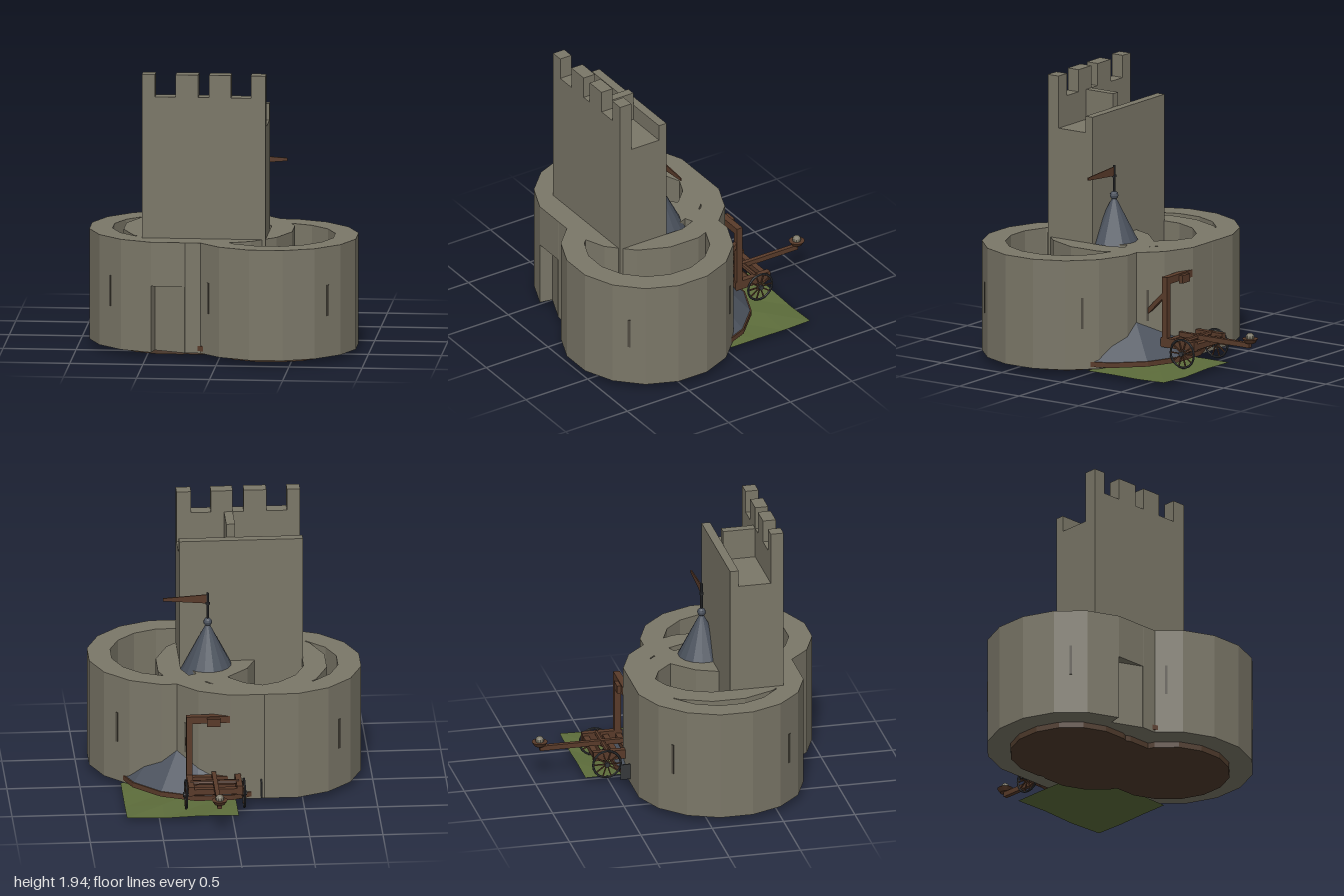
import * as THREE from 'three';

const paint = (name, color, extra = {}) => {
  const m = new THREE.MeshStandardMaterial({ color, flatShading: true, ...extra });
  m.name = name;
  return m;
};

export function createModel() {
  const stone = paint('stone', 0x7b7768);
  const slitDark = paint('slit shadow', 0x4f4b41);
  const slate = paint('slate', 0x4b525d);
  const wood = paint('wood', 0x593b2a);
  const floorWood = paint('floor boards', 0x4f3b2c);
  const iron = paint('iron', 0x36383b);
  const grass = paint('grass', 0x5d6d3b, { side: THREE.DoubleSide });

  const root = new THREE.Group();
  root.name = 'castle';
  const add = (name, geo, mat, pos = [0, 0, 0], rot = [0, 0, 0], parent = root) => {
    const m = new THREE.Mesh(geo, mat);
    m.name = name;
    m.position.set(...pos);
    m.rotation.set(...rot);
    parent.add(m);
    return m;
  };
  // Box given by its limits on each axis
  const box = (name, mat, [x0, x1], [y0, y1], [z0, z1], parent = root) =>
    add(name, new THREE.BoxGeometry(x1 - x0, y1 - y0, z1 - z0), mat,
      [(x0 + x1) / 2, (y0 + y1) / 2, (z0 + z1) / 2], [0, 0, 0], parent);

  // Sixteen-sided ring walls
  const STEP = Math.PI / 8, OUT = 0.588, INN = 0.428;
  const arc = (r, from, to) => {
    const pts = [];
    for (let i = from; i <= to; i++) {
      const a = (i + 0.5) * STEP;
      pts.push(new THREE.Vector2(r * Math.cos(a), r * Math.sin(a)));
    }
    return pts;
  };
  const raise = (shape, h) =>
    new THREE.ExtrudeGeometry(shape, { depth: h, bevelEnabled: false }).rotateX(-Math.PI / 2);
  const fullRing = (h) => {
    const s = new THREE.Shape(arc(OUT, 0, 15));
    s.holes.push(new THREE.Path(arc(INN, 0, 15).reverse()));
    return raise(s, h);
  };
  // Ring with its front panel left out for the doorway
  const openRing = (h) =>
    raise(new THREE.Shape([...arc(OUT, -4, 11), ...arc(INN, -4, 11).reverse()]), h);

  const rings = [['right', -0.35, 0.19], ['middle', -0.115, 0.19], ['left', 0.34, 0.415]];
  rings.forEach(([side, x, z], i) => {
    const ring = new THREE.Group();
    ring.name = side + 'RingTower';
    ring.position.set(x, 0, z);
    root.add(ring);
    if (i === 0) {
      add('doorwayWall', openRing(0.46), stone, [0, 0.04, 0], [0, 0, 0], ring);
      add('upperWall', fullRing(0.305), stone, [0, 0.5, 0], [0, 0, 0], ring);
    } else {
      add('wall', fullRing(0.765), stone, [0, 0.04, 0], [0, 0, 0], ring);
    }
    add('floor', new THREE.CylinderGeometry(0.426, 0.426, 0.045, 16).rotateY(STEP / 2), floorWood,
      [0, 0.0225, 0], [0, 0, 0], ring);
    // Arrow slits on the four diagonals
    for (let k = 0; k < 4; k++) {
      const a = Math.PI / 4 + k * Math.PI / 2;
      add('arrowSlit', new THREE.BoxGeometry(0.018, 0.215, 0.006), slitDark,
        [0.578 * Math.sin(a), 0.433, 0.578 * Math.cos(a)], [0, a, 0], ring);
    }
  });

  // Keep with battlements
  const keep = new THREE.Group();
  keep.name = 'keep';
  root.add(keep);
  const KX = [-0.54, 0.305];
  box('body', stone, KX, [0.04, 1.575], [0.235, 0.61], keep);
  box('backParapet', stone, KX, [1.575, 1.69], [0.235, 0.295], keep);
  box('frontParapet', stone, KX, [1.575, 1.785], [0.52, 0.61], keep);
  box('dividingWall', stone, [-0.08, -0.02], [1.575, 1.785], [0.295, 0.52], keep);
  for (const span of [[-0.54, -0.45], [-0.31, -0.155], [-0.08, 0.07], [0.205, 0.305]])
    box('merlon', stone, span, [1.785, 1.94], [0.52, 0.61], keep);

  // Flared slate roof on a wooden base
  const hall = new THREE.Group();
  hall.name = 'roundHall';
  hall.position.set(0.115, 0, 0.19);
  root.add(hall);
  const profile = [[0.64, 0.085], [0.41, 0.33], [0.165, 0.8], [0.012, 1.1]]
    .map(([r, y]) => new THREE.Vector2(r, y));
  add('roof', new THREE.LatheGeometry(profile, 16, STEP / 2), slate, [0, 0, 0], [0, 0, 0], hall);
  add('base', new THREE.CylinderGeometry(0.645, 0.645, 0.035, 16).rotateY(STEP / 2), wood,
    [0, 0.073, 0], [0, 0, 0], hall);
  // Gabled dormers on both sides
  const gable = new THREE.Shape();
  [[-0.11, 0.36], [0.11, 0.36], [0, 0.43]].forEach(([x, y], i) =>
    i ? gable.lineTo(x, y) : gable.moveTo(x, y));
  for (const s of [-1, 1]) {
    const dormer = new THREE.Group();
    dormer.name = 'dormer';
    dormer.rotation.y = s * Math.PI / 2;
    hall.add(dormer);
    add('dormerRoof', new THREE.ExtrudeGeometry(gable, { depth: 0.24, bevelEnabled: false }), slate,
      [0, 0, 0.22], [0, 0, 0], dormer);
    box('dormerWall', wood, [-0.09, 0.09], [0.2, 0.36], [0.24, 0.44], dormer);
  }
  // Finial, mast and pennant
  add('finial', new THREE.SphereGeometry(0.03, 10, 6), slate, [0, 1.115, 0], [0, 0, 0], hall);
  add('mast', new THREE.CylinderGeometry(0.009, 0.009, 0.22, 8), iron, [0, 1.215, 0], [0, 0, 0], hall);
  add('mastCollar', new THREE.CylinderGeometry(0.015, 0.015, 0.015, 8), iron, [0, 1.25, 0], [0, 0, 0], hall);
  const flag = new THREE.Shape([[0, 1.25], [0.305, 1.275], [0.305, 1.295], [0, 1.315]]
    .map(([x, y]) => new THREE.Vector2(x, y)));
  add('pennant', new THREE.ExtrudeGeometry(flag, { depth: 0.008, bevelEnabled: false }), wood,
    [0, 0, -0.004], [0, 0, 0], hall);

  // Grass patch, slightly uneven
  const lawn = new THREE.PlaneGeometry(0.765, 0.64, 3, 3).rotateX(-Math.PI / 2);
  const p = lawn.attributes.position;
  for (let i = 0; i < p.count; i++) p.setY(i, 0.006 * Math.sin(i * 2.3));
  add('grass', lawn, grass, [0.343, 0.03, -0.34]);
  box('stake', iron, [-0.215, -0.205], [0.07, 0.18], [-0.455, -0.38]);

  // Catapult
  const cat = new THREE.Group();
  cat.name = 'catapult';
  root.add(cat);
  for (const x of [-0.05, 0.28]) {
    box('sideRail', wood, [x - 0.02, x + 0.02], [0.16, 0.225], [-0.61, -0.33], cat);
    box('post', wood, [x - 0.02, x + 0.02], [0.16, 0.65], [-0.385, -0.34], cat);
    add('brace', new THREE.BoxGeometry(0.03, 0.24, 0.03), wood, [x, 0.455, -0.28],
      [-Math.PI / 4, 0, 0], cat);
  }
  for (const z of [-0.585, -0.45, -0.36])
    box('crossBar', wood, [-0.05, 0.28], [0.165, 0.205], [z - 0.02, z + 0.02], cat);
  box('topBeam', wood, [-0.05, 0.28], [0.6, 0.65], [-0.385, -0.34], cat);
  box('stopPad', wood, [0.07, 0.16], [0.585, 0.64], [-0.412, -0.385], cat);
  box('throwingArm', wood, [0.097, 0.127], [0.2, 0.235], [-0.945, -0.36], cat);
  add('cup', new THREE.CylinderGeometry(0.055, 0.035, 0.03, 12), wood, [0.112, 0.25, -0.945], [0, 0, 0], cat);
  add('shot', new THREE.SphereGeometry(0.03, 10, 8), stone, [0.112, 0.275, -0.945], [0, 0, 0], cat);
  add('windlass', new THREE.CylinderGeometry(0.018, 0.018, 0.33, 8), wood, [0.115, 0.215, -0.505],
    [0, 0, Math.PI / 2], cat);
  add('axle', new THREE.CylinderGeometry(0.012, 0.012, 0.43, 8), wood, [0.113, 0.14, -0.52],
    [0, 0, Math.PI / 2], cat);
  for (const x of [-0.085, 0.312]) {
    const wheel = new THREE.Group();
    wheel.name = 'wheel';
    wheel.position.set(x, 0.138, -0.52);
    wheel.rotation.y = Math.PI / 2;
    cat.add(wheel);
    add('rim', new THREE.TorusGeometry(0.097, 0.008, 6, 20), iron, [0, 0, 0], [0, 0, 0], wheel);
    add('hub', new THREE.CylinderGeometry(0.018, 0.018, 0.04, 8).rotateX(Math.PI / 2), iron,
      [0, 0, 0], [0, 0, 0], wheel);
    for (let k = 0; k < 5; k++)
      add('spokes', new THREE.BoxGeometry(0.19, 0.008, 0.008), wood, [0, 0, 0],
        [0, 0, k * Math.PI / 5], wheel);
  }
  return root;
}
